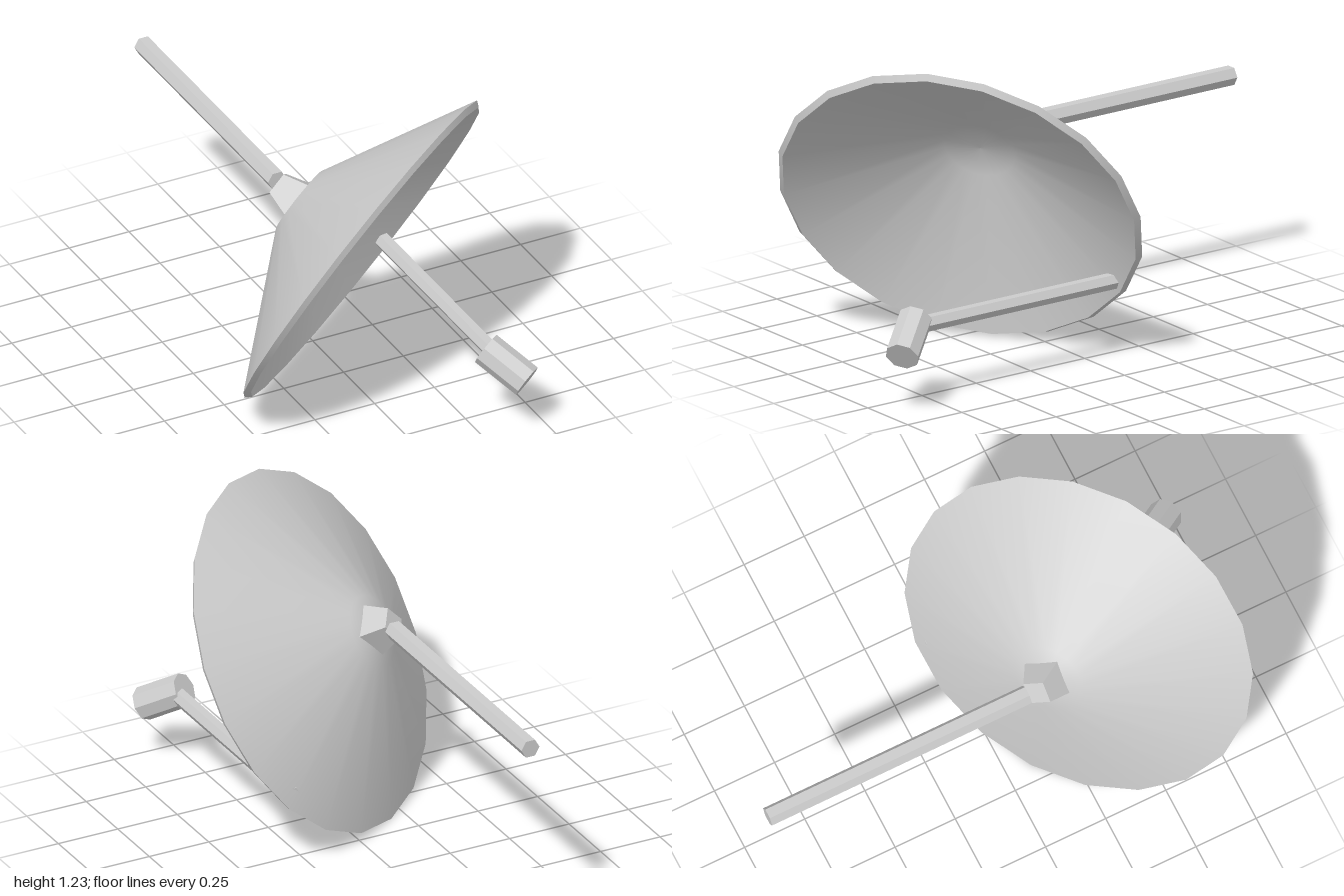
import * as THREE from 'three';

const smooth = new THREE.MeshStandardMaterial({ color: 0xcccccc, side: THREE.DoubleSide });
const flat = new THREE.MeshStandardMaterial({ color: 0xcccccc, flatShading: true });

// direction the dish faces, and two axes across it
const axis = new THREE.Vector3(0.517, -0.491, 0.701).normalize();
const across = new THREE.Vector3(1, 0, 0).addScaledVector(axis, -axis.x).normalize();
const upward = new THREE.Vector3().crossVectors(axis, across);

function addMesh(parent, name, geometry, material) {
  const mesh = new THREE.Mesh(geometry, material);
  mesh.name = name;
  parent.add(mesh);
  return mesh;
}

// faceted bar between two points
function addBar(parent, name, from, to, radius, sides, twist = 0) {
  const a = new THREE.Vector3(...from), b = new THREE.Vector3(...to);
  const geometry = new THREE.CylinderGeometry(radius, radius, a.distanceTo(b), sides);
  geometry.rotateY(twist);
  const mesh = addMesh(parent, name, geometry, flat);
  mesh.position.copy(a).add(b).multiplyScalar(0.5);
  mesh.quaternion.setFromUnitVectors(new THREE.Vector3(0, 1, 0), b.sub(a).normalize());
  return mesh;
}

const lathe = (points) =>
  new THREE.LatheGeometry(points.map(([r, y]) => new THREE.Vector2(r, y)), 20);

export function createModel() {
  const model = new THREE.Group();
  model.name = 'satelliteDish';

  // dish assembly, local +y is the facing direction
  const dish = new THREE.Group();
  dish.name = 'dish';
  dish.quaternion.setFromRotationMatrix(new THREE.Matrix4().makeBasis(upward, axis, across));
  dish.position.set(0, 0.614, 0.389);
  model.add(dish);

  addMesh(dish, 'dishBack', lathe([[0, -0.305], [0.136, -0.295], [0.705, 0]]), smooth);
  addMesh(dish, 'dishRim', lathe([[0.705, 0], [0.685, 0.02]]), smooth);
  addMesh(dish, 'dishFront', lathe([[0.685, 0.02], [0.136, -0.275], [0, -0.285]]), smooth);

  // tapered square mount behind the dish
  const mount = addMesh(dish, 'mount', new THREE.CylinderGeometry(0.1, 0.06, 0.1, 4), flat);
  mount.position.y = -0.345;
  mount.rotation.y = -0.17;

  // horizontal support pole running to the back
  addBar(model, 'supportPole', [-0.19, 0.798, 0.08], [-0.19, 0.798, -1], 0.038, 6, Math.PI / 6);

  // receiver and the arm that carries it
  addBar(model, 'receiverArm', [0.328, 0.31, -0.09], [0.328, 0.31, 0.82], 0.032, 6, Math.PI / 6);
  addBar(model, 'receiver', [0.301, 0.329, 0.817], [0.402, 0.232, 0.954], 0.065, 8);

  return model;
}
